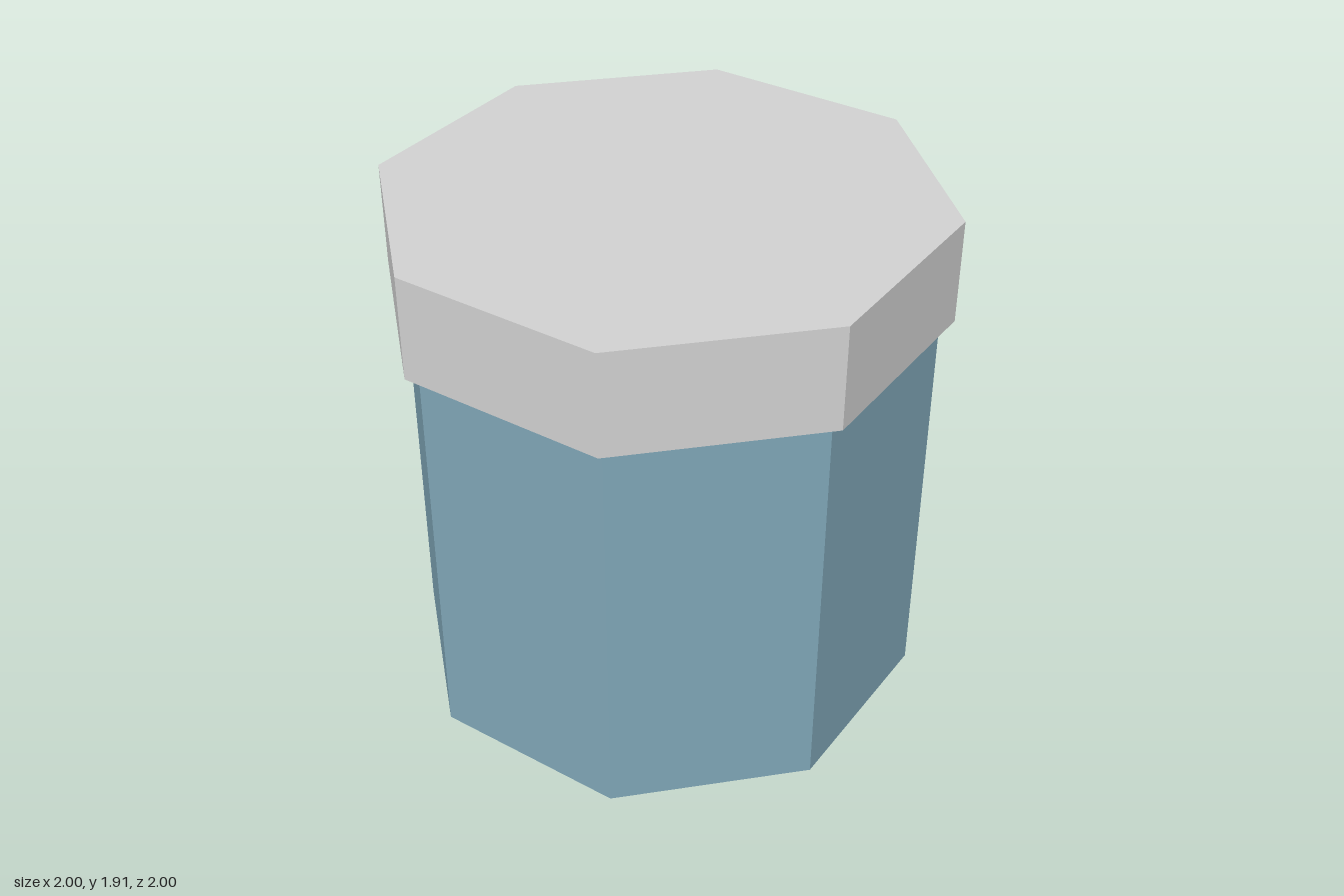
import * as THREE from 'three';

const SIDES = 8;

function material(name, color) {
  const m = new THREE.MeshStandardMaterial({ color, flatShading: true, side: THREE.DoubleSide });
  m.name = name;
  return m;
}

export function createModel() {
  const model = new THREE.Group();
  model.name = 'lidded jar';

  const blue = material('jar blue', 0x80a7b8);
  const grey = material('lid grey', 0xd2d2d2);
  const gold = material('nugget gold', 0xd2c482);

  function add(parent, name, geometry, mat, y) {
    const mesh = new THREE.Mesh(geometry, mat);
    mesh.name = name;
    mesh.position.y = y;
    parent.add(mesh);
    return mesh;
  }

  // Octagonal jar wall, a thin shell open at both ends
  const jarHeight = 1.53;
  add(model, 'jarWall', new THREE.CylinderGeometry(0.95, 0.95, jarHeight, SIDES, 1, true), blue, jarHeight / 2);

  // Lid: a shallow cap, hollow and open underneath
  const lid = new THREE.Group();
  lid.name = 'lid';
  const lidHeight = 0.38;
  add(lid, 'lidRim', new THREE.CylinderGeometry(1, 1, lidHeight, SIDES, 1, true), grey, jarHeight + lidHeight / 2);
  add(lid, 'lidTop', new THREE.CircleGeometry(1, SIDES).rotateX(-Math.PI / 2), grey, jarHeight + lidHeight);
  model.add(lid);

  // Ring of five faceted nuggets near the bottom of the jar
  const nuggets = new THREE.Group();
  nuggets.name = 'nuggets';
  const nuggetShape = new THREE.DodecahedronGeometry(0.29);
  for (let i = 0; i < 5; i++) {
    const angle = Math.PI + (i * Math.PI * 2) / 5;
    const nugget = add(nuggets, 'nugget' + (i + 1), nuggetShape, gold, 0.35);
    nugget.position.x = 0.49 * Math.sin(angle);
    nugget.position.z = 0.49 * Math.cos(angle);
    nugget.rotation.y = angle;
  }
  model.add(nuggets);

  return model;
}
